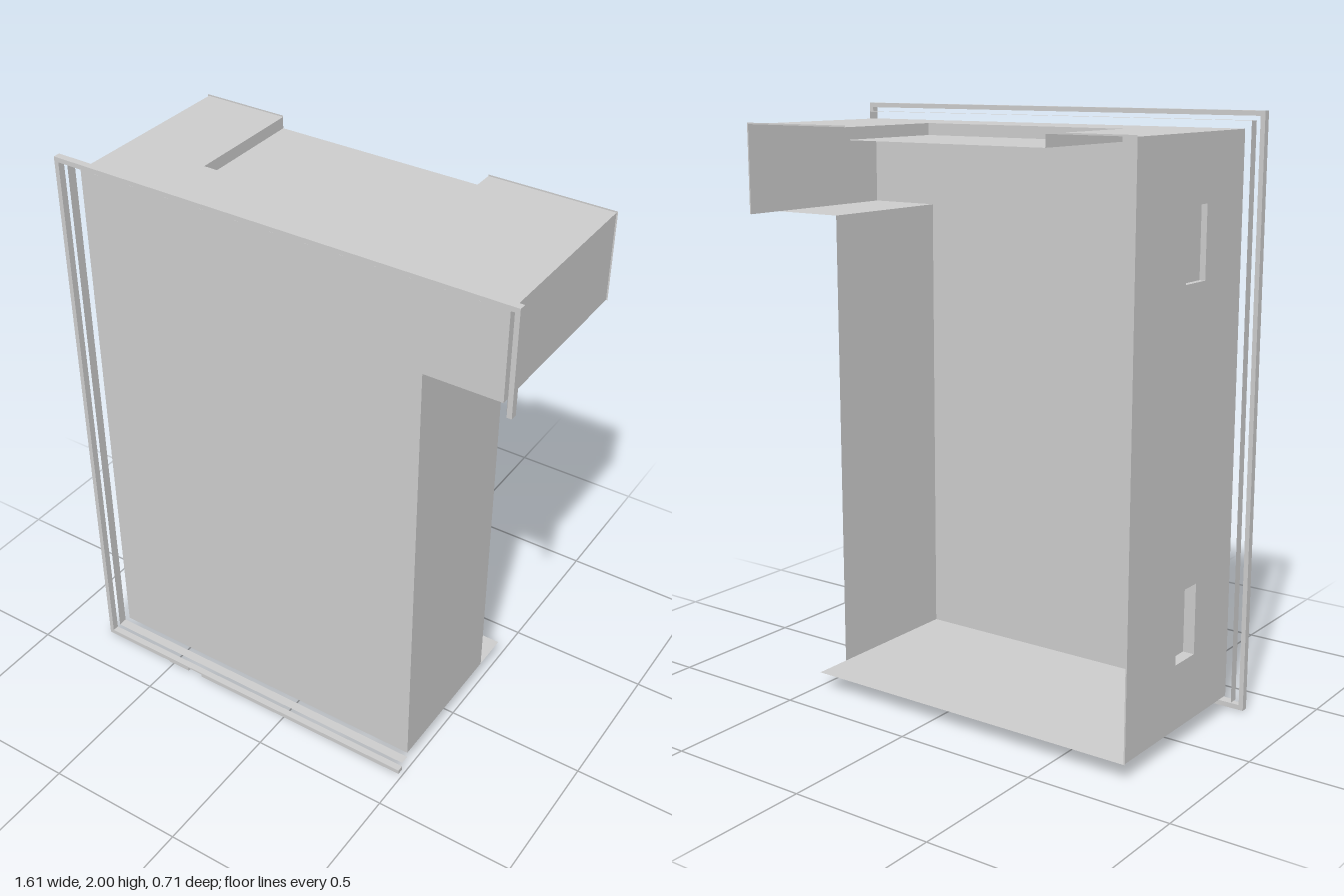
import * as THREE from 'three';

const material = new THREE.MeshStandardMaterial({ color: 0xcccccc, side: THREE.DoubleSide, flatShading: true });

// Main levels of the cabinet shell
const L = -0.755, R = 0.75, N = 0.487;        // left side, right side, notch side (x)
const B = 0.058, T = 1.945, S = 1.645;        // floor, top, notch ceiling (y)
const F = 0.3, K = -0.357, W = -0.222;        // front sheet, open back, short wall end (z)
const RIM = 0.333, FACE = 0.357;              // trim depths (z)

const onX = x => (u, v) => [x, v, u];         // u = z, v = y
const onY = y => (u, v) => [u, y, v];         // u = x, v = z
const onZ = z => (u, v) => [u, v, z];         // u = x, v = y
const rect = (u0, v0, u1, v1) => [[u0, v0], [u1, v0], [u1, v1], [u0, v1]];
const vec = pts => pts.map(p => new THREE.Vector2(...p));

export function createModel() {
  const model = new THREE.Group();
  model.name = 'cabinetShell';

  // A thin flat sheet placed on an axis plane, with optional openings
  function sheet(name, place, outline, holes = []) {
    const shape = new THREE.Shape(vec(outline));
    holes.forEach(h => shape.holes.push(new THREE.Path(vec(h))));
    const geometry = new THREE.ShapeGeometry(shape);
    const p = geometry.attributes.position;
    for (let i = 0; i < p.count; i++) p.setXYZ(i, ...place(p.getX(i), p.getY(i)));
    geometry.computeVertexNormals();
    const mesh = new THREE.Mesh(geometry, material);
    mesh.name = name;
    model.add(mesh);
  }

  function bar(name, x0, y0, x1, y1) {
    const mesh = new THREE.Mesh(new THREE.BoxGeometry(x1 - x0, y1 - y0, FACE - RIM), material);
    mesh.position.set((x0 + x1) / 2, (y0 + y1) / 2, (RIM + FACE) / 2);
    mesh.name = name;
    model.add(mesh);
  }

  // Front sheet with the lower corner cut away
  sheet('frontPanel', onZ(F), [[L, B], [N, B], [N, S], [R, S], [R, T], [L, T]]);

  // Floor, notch walls and upper side
  sheet('floor', onY(B), rect(L, K, N, F));
  sheet('notchWall', onX(N), rect(W, B, F, S));
  sheet('notchCeiling', onY(S), rect(N, W, R, F));
  sheet('upperSide', onX(R), rect(K, S, F, T));

  // Top with a shallow recess running out at the back
  const a = -0.45, b = 0.32, c = 0.07, d = T - 0.04;
  sheet('top', onY(T), [[L, K], [a, K], [a, c], [b, c], [b, K], [R, K], [R, F], [L, F]]);
  sheet('recessFloor', onY(d), rect(a, K, b, c));
  sheet('recessFront', onZ(c), rect(a, d, b, T));
  for (const x of [a, b]) sheet('recessSide', onX(x), rect(K, d, c, T));

  // Long side with two pockets sunk into it
  const z0 = -0.05, z1 = 0.07;
  const pockets = [[1.495, 1.73, 0.02], [0.28, 0.52, 0.04]];
  sheet('longSide', onX(L), rect(K, B, F, T), pockets.map(([y0, y1]) => rect(z0, y0, z1, y1)));
  for (const [y0, y1, depth] of pockets) {
    sheet('pocketBack', onX(L + depth), rect(z0, y0, z1, y1));
    for (const z of [z0, z1]) sheet('pocketSide', onZ(z), rect(L, y0, L + depth, y1));
    for (const y of [y0, y1]) sheet('pocketEnd', onY(y), rect(L, z0, L + depth, z1));
  }

  // Fine lip around the open back
  const e = 0.005;
  sheet('backLip', onZ(K), rect(L - e, T, a, T + e));
  sheet('backLip', onZ(K), rect(b, T, R + e, T + e));
  sheet('backLip', onZ(K), rect(L - e, B, L, T));
  sheet('backLip', onZ(K), rect(R, S, R + e, T));

  // Inner trim: thin strips standing off the front edge
  const t = 0.777;
  sheet('innerTrimSide', onX(-t), rect(F, 0.037, RIM, 1.97));
  sheet('innerTrimShortSide', onX(t), rect(F, S, RIM, 1.97));
  sheet('innerTrimTop', onY(1.97), rect(-t, F, t, RIM));
  sheet('innerTrimBottom', onY(0.037), rect(-t, F, N, RIM));

  // Outer trim: slim frame, interrupted at the notch
  const o = 0.806, w = 0.016;
  bar('outerTrimSide', -o, 0.003, w - o, 2);
  bar('outerTrimTop', w - o, 2 - w, o, 2);
  bar('outerTrimShortSide', o - w, S, o, 2 - w);
  bar('outerTrimBottom', w - o, 0.003, -0.43, 0.02);
  bar('outerTrimBottomNeck', -0.43, 0.014, -0.37, 0.02);
  bar('outerTrimBottom', -0.37, 0.003, N, 0.02);
  bar('outerTrimFoot', -0.52, 0, -0.43, 0.003);

  return model;
}
